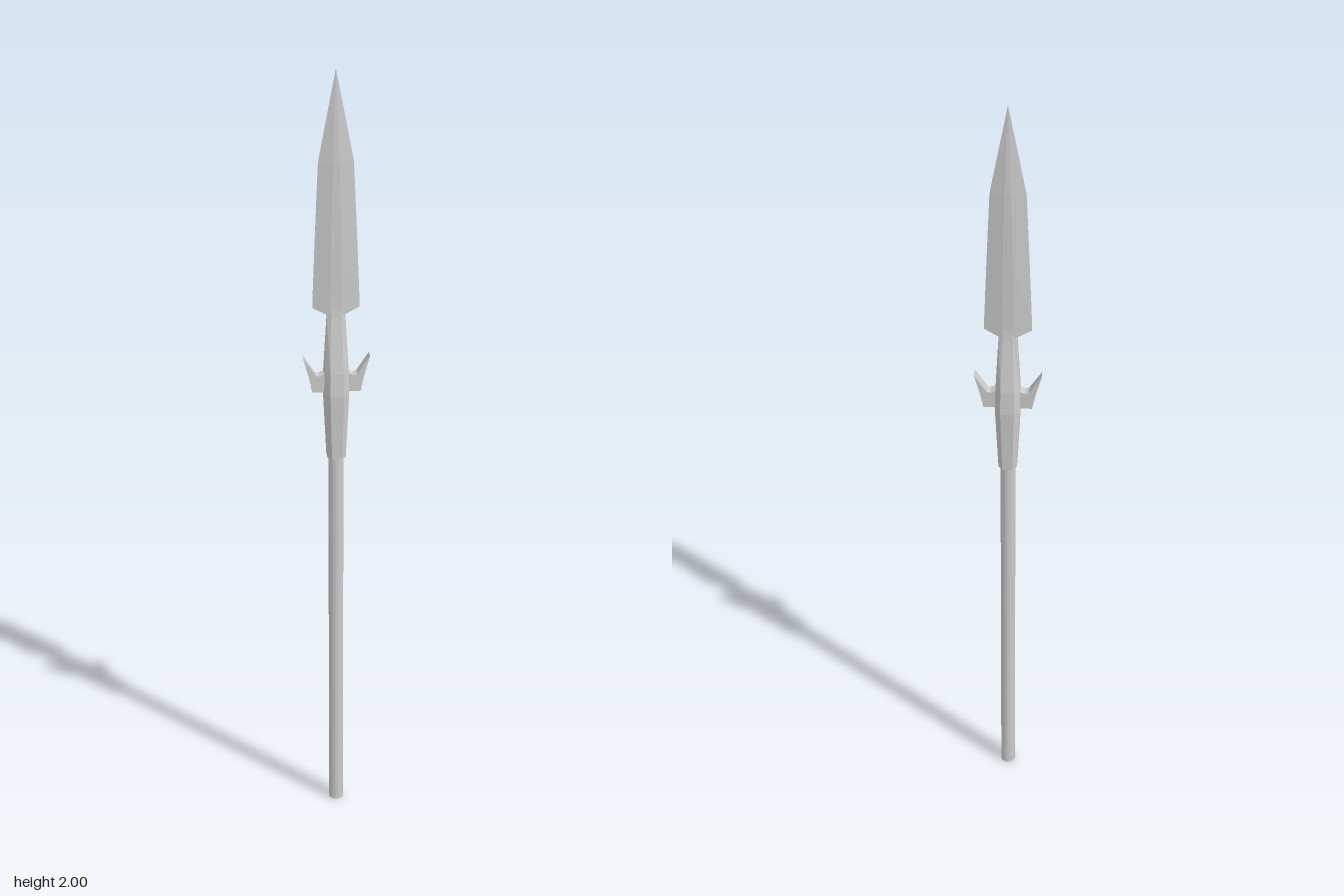
import * as THREE from 'three';

const material = new THREE.MeshStandardMaterial({ color: 0xcccccc, flatShading: true });
const smoothMaterial = new THREE.MeshStandardMaterial({ color: 0xcccccc });

// Skin a stack of rings (bottom to top, each a list of [x, y, z]) and cap both ends
function loft(rings) {
  const n = rings[0].length;
  const index = [];
  for (let r = 0; r < rings.length - 1; r++) {
    for (let i = 0; i < n; i++) {
      const j = (i + 1) % n;
      const a = r * n + i, b = a + n, c = (r + 1) * n + j, d = r * n + j;
      index.push(a, b, c, a, c, d);
    }
  }
  const top = (rings.length - 1) * n;
  for (let i = 1; i < n - 1; i++) {
    index.push(0, i, i + 1, top, top + i + 1, top + i);
  }
  const geometry = new THREE.BufferGeometry();
  geometry.setAttribute('position', new THREE.Float32BufferAttribute(rings.flat(2), 3));
  geometry.setIndex(index);
  const flat = geometry.toNonIndexed();
  flat.computeVertexNormals();
  return flat;
}

// Eight-sided socket section with half-sizes x and z
function octagon(y, x, z) {
  const p = 0.55;
  return [[1, p], [p, 1], [-p, 1], [-1, p], [-1, -p], [-p, -1], [p, -1], [1, -p]]
    .map(([u, v]) => [u * x, y, v * z]);
}

// Six-sided blade section: sharp edges at +-w, narrow flat ridge of half-width r and half-depth d
function bladeSection(edgeY, ridgeY, w, r, d) {
  return [[w, edgeY, 0], [r, ridgeY, d], [-r, ridgeY, d],
    [-w, edgeY, 0], [-r, ridgeY, -d], [r, ridgeY, -d]];
}

export function createModel() {
  const group = new THREE.Group();
  const add = (name, geometry, mat = material) => {
    const mesh = new THREE.Mesh(geometry, mat);
    mesh.name = name;
    group.add(mesh);
    return mesh;
  };

  // Wooden shaft
  const shaft = add('shaft', new THREE.CylinderGeometry(0.019, 0.019, 1.06, 12), smoothMaterial);
  shaft.position.y = 0.53;

  // Socket swelling at the wings, then thinning into the neck
  add('socket', loft([
    octagon(1.02, 0.023, 0.028),
    octagon(1.19, 0.031, 0.035),
    octagon(1.25, 0.03, 0.031),
    octagon(1.39, 0.023, 0.011),
    octagon(1.43, 0.017, 0.008),
  ]));

  // Leaf blade
  add('blade', loft([
    bladeSection(1.415, 1.395, 0.058, 0.014, 0.009),
    bladeSection(1.43, 1.43, 0.058, 0.014, 0.009),
    bladeSection(1.6, 1.6, 0.051, 0.012, 0.009),
    bladeSection(1.78, 1.78, 0.043, 0.008, 0.008),
    bladeSection(1.9, 1.9, 0.02, 0.004, 0.004),
    bladeSection(2, 2, 0.0005, 0.0002, 0.0002),
  ]));

  // Upswept side wings
  const wing = new THREE.Shape([
    [0.015, 1.198], [0.06, 1.198], [0.068, 1.235], [0.083, 1.29],
    [0.052, 1.243], [0.043, 1.24], [0.015, 1.252],
  ].map(([x, y]) => new THREE.Vector2(x, y)));
  const wingGeometry = new THREE.ExtrudeGeometry(wing, { depth: 0.028, bevelEnabled: false });
  wingGeometry.translate(0, 0, -0.014);
  add('leftWing', wingGeometry);
  add('rightWing', wingGeometry).rotation.y = Math.PI;

  return group;
}
